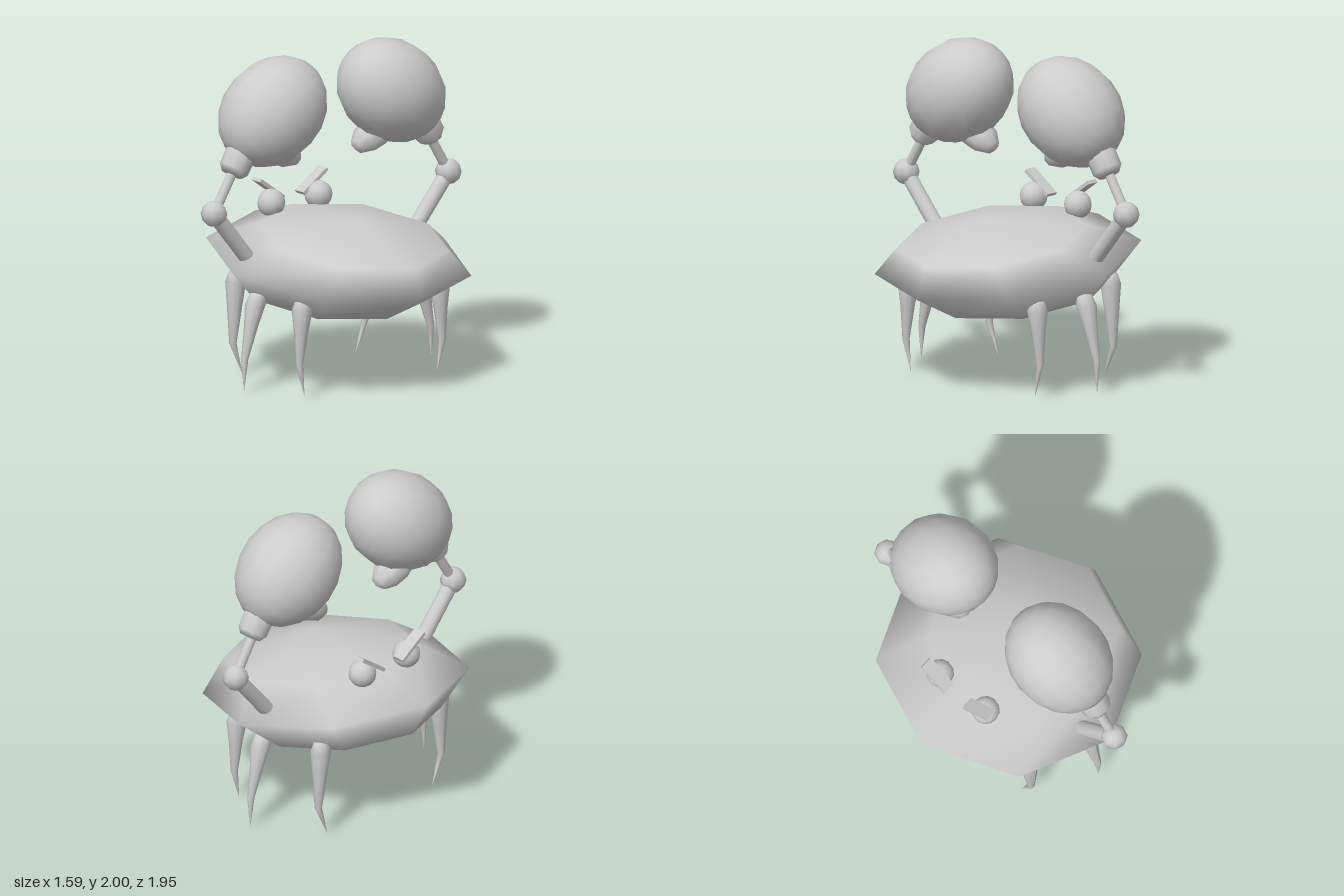
import * as THREE from 'three';
import { mergeVertices } from 'three/addons/utils/BufferGeometryUtils.js';

const mat = new THREE.MeshStandardMaterial({ color: 0xcccccc });
const UP = new THREE.Vector3(0, 1, 0);

function add(parent, name, geo, x = 0, y = 0, z = 0) {
  const mesh = new THREE.Mesh(geo, mat);
  mesh.name = name;
  mesh.position.set(x, y, z);
  parent.add(mesh);
  return mesh;
}

// Point a mesh's own y axis along a direction
function aim(mesh, x, y, z) {
  mesh.quaternion.setFromUnitVectors(UP, new THREE.Vector3(x, y, z).normalize());
  return mesh;
}

// Cylinder between two points of the plane at the given x
function rod(parent, name, r, x, [y0, z0], [y1, z1]) {
  const len = Math.hypot(y1 - y0, z1 - z0);
  const mesh = add(parent, name, new THREE.CylinderGeometry(r, r, len, 12), x, (y0 + y1) / 2, (z0 + z1) / 2);
  return aim(mesh, 0, y1 - y0, z1 - z0);
}

// Tilted, flattened eight-sided shell: [centre x, centre y, radius x, radius z, fall towards +x]
function shellGeometry() {
  const rings = [
    [-0.13, 0.466, 0, 0, 0],
    [-0.1, 0.527, 0.56, 0.56, 0.097],
    [0, 0.73, 0.795, 0.8, 0.138],
    [0.145, 0.877, 0.585, 0.565, 0.094],
    [0.21, 1.0, 0, 0, 0],
  ];
  const pos = [], idx = [], n = 8;
  rings.forEach(([cx, cy, rx, rz, fall], i) => {
    for (let j = 0; j < n; j++) {
      const a = (j / n) * Math.PI * 2;
      pos.push(cx + rx * Math.cos(a), cy - fall * Math.cos(a), rz * Math.sin(a));
      if (i === rings.length - 1) continue;
      const p = i * n + j, q = i * n + ((j + 1) % n);
      if (i > 0) idx.push(p, p + n, q);
      if (i < rings.length - 2) idx.push(q, p + n, q + n);
    }
  });
  let geo = new THREE.BufferGeometry();
  geo.setAttribute('position', new THREE.Float32BufferAttribute(pos, 3));
  geo.setIndex(idx);
  geo = mergeVertices(geo);
  geo.computeVertexNormals();
  return geo;
}

// Pointed leg: a lathe bent sideways along root, knee and tip
function legGeometry(top, zRoot, zKnee, zTip, side) {
  const profile = [[0, 0], [0.011, 0.1], [0.022, 0.2], [0.043, 0.4], [0.063, top - 0.07], [0.045, top - 0.01], [0, top]];
  const geo = new THREE.LatheGeometry(profile.map(([r, y]) => new THREE.Vector2(r, y)), 10);
  const p = geo.attributes.position;
  for (let i = 0; i < p.count; i++) {
    const y = p.getY(i);
    const z = y < 0.2
      ? THREE.MathUtils.lerp(zTip, zKnee, y / 0.2)
      : THREE.MathUtils.lerp(zKnee, zRoot, (y - 0.2) / (top - 0.2));
    p.setZ(i, p.getZ(i) + side * z);
  }
  geo.computeVertexNormals();
  return geo;
}

function createSide(s) {
  const side = new THREE.Group();
  side.name = s > 0 ? 'leftSide' : 'rightSide';

  // Walking legs
  add(side, 'frontLeg', legGeometry(0.65, 0.48, 0.505, 0.43, s), -0.38);
  add(side, 'middleLeg', legGeometry(0.6, 0.61, 0.71, 0.715, s), -0.01);
  add(side, 'rearLeg', legGeometry(0.6, 0.52, 0.545, 0.505, s), 0.308);

  // Jointed arm
  const ax = -0.072;
  rod(side, 'upperArm', 0.047, ax, [0.76, s * 0.605], [1.11, s * 0.895]);
  add(side, 'elbow', new THREE.SphereGeometry(0.08, 8, 6), ax, 1.11, s * 0.895);
  rod(side, 'forearm', 0.03, ax, [1.11, s * 0.895], [1.4, s * 0.72]);
  const cuff = [[0, -0.09], [0.065, -0.09], [0.092, -0.055], [0.095, 0.06], [0.07, 0.1], [0, 0.1]];
  const wrist = new THREE.LatheGeometry(cuff.map(([r, y]) => new THREE.Vector2(r, y)), 10);
  aim(add(side, 'wrist', wrist, -0.065, 1.41, s * 0.72), 0, 0.84, -s * 0.54);

  // Swollen claw with its small lower finger
  const claw = new THREE.SphereGeometry(1, 16, 10).scale(0.302, 0.368, 0.302);
  aim(add(side, 'claw', claw, -0.065, 1.675, s * 0.453), 0, 0.6, -s * 0.8);
  const finger = new THREE.SphereGeometry(1, 8, 6).scale(0.11, 0.17, 0.095);
  aim(add(side, 'lowerFinger', finger, -0.12, 1.42, s * 0.365), 0, -0.5, -s * 0.85);

  // Eye and slanted brow plate
  add(side, 'eye', new THREE.SphereGeometry(0.085, 12, 8), -0.42, 1.01, s * 0.18);
  const brow = add(side, 'brow', new THREE.BoxGeometry(0.08, 0.022, 0.22), -0.465, 1.09, s * 0.165);
  brow.rotation.x = -s * 0.62;
  return side;
}

export function createModel() {
  const model = new THREE.Group();
  model.name = 'crab';
  add(model, 'shell', shellGeometry());
  for (const s of [1, -1]) model.add(createSide(s));
  return model;
}
